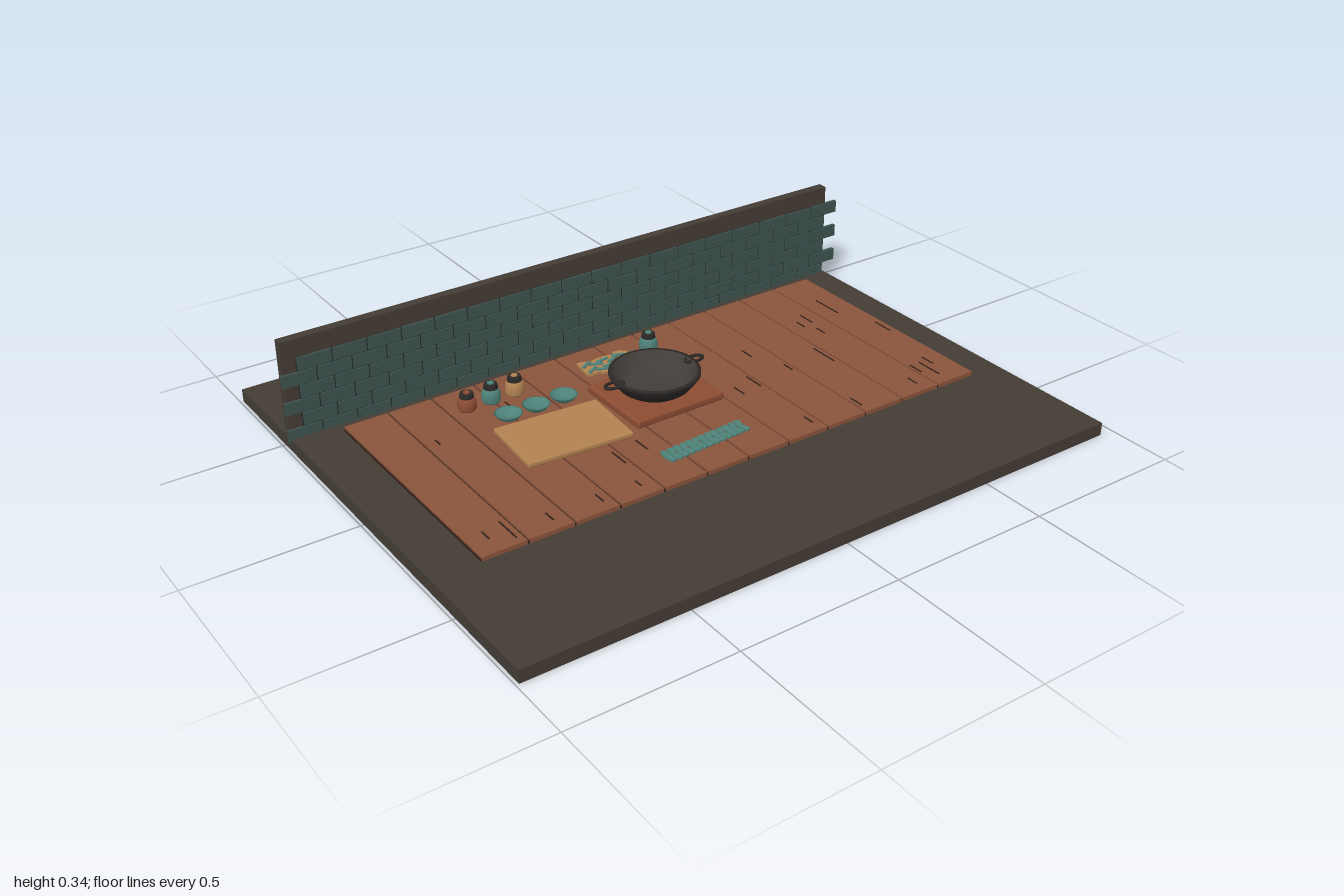
import * as THREE from 'three';
import { RoundedBoxGeometry } from 'three/addons/geometries/RoundedBoxGeometry.js';

const mat = (name, color, side = THREE.FrontSide) => {
  const m = new THREE.MeshStandardMaterial({ color, side });
  m.name = name;
  return m;
};

export function createModel() {
  const root = new THREE.Group();
  root.name = 'kitchenCounter';
  const stone = mat('dark stone', 0x443c35);
  const grout = mat('dark grout', 0x26302e);
  const tile = mat('green tile', 0x3d534f);
  const wood = mat('red brown wood', 0x8a543c);
  const gap = mat('plank gap', 0x35221a);
  const trivetWood = mat('trivet wood', 0x8c4c32);
  const paleWood = mat('pale wood', 0xb28250);
  const teal = mat('teal glaze', 0x4d8279, THREE.DoubleSide);
  const iron = mat('cast iron', 0x2c2927, THREE.DoubleSide);
  const ironInside = mat('worn iron', 0x423e3a);

  const group = (name, parent = root) => {
    const g = new THREE.Group();
    g.name = name;
    parent.add(g);
    return g;
  };
  const add = (name, geo, material, x, y, z, parent = root) => {
    const m = new THREE.Mesh(geo, material);
    m.name = name;
    m.position.set(x, y, z);
    parent.add(m);
    return m;
  };
  const box = (name, w, h, d, material, x, y, z, parent) =>
    add(name, new THREE.BoxGeometry(w, h, d), material, x, y, z, parent);
  const lathe = (pts, n = 24) =>
    new THREE.LatheGeometry(pts.map(([r, y]) => new THREE.Vector2(r, y)), n);

  // Floor slab and rear wall
  box('floor', 1.945, 0.04, 1.61, stone, -0.018, 0.02, -0.003);
  box('wall', 1.945, 0.305, 0.03, stone, -0.018, 0.1925, -0.473);

  // Staggered tiles on the wall
  const tiles = group('wallTiles');
  box('grout', 1.9, 0.248, 0.004, grout, 0, 0.164, -0.457, tiles);
  const pitch = 1.95 / 18;
  for (let r = 0; r < 6; r++) {
    const start = r % 2 ? -0.95 : -1;
    const y = 0.05 + r * 0.0437;
    for (let i = 0; i < 18; i++) {
      box('tile', pitch - 0.006, 0.039, 0.012, tile, start + pitch * (i + 0.5), y, -0.456, tiles);
    }
  }

  // Plank top over a dark base
  const planks = group('plankTop');
  box('plankBase', 1.696, 0.008, 0.786, gap, 0, 0.044, -0.015, planks);
  const pw = 1.7 / 12;
  for (let i = 0; i < 12; i++) {
    box('plank', pw - 0.007, 0.013, 0.79, wood, -0.85 + pw * (i + 0.5), 0.0475, -0.015, planks);
  }

  // Wood grain marks: x, z, length
  const marks = [
    [-0.67, -0.18, 0.03], [-0.73, 0.31, 0.09], [-0.79, 0.3, 0.04], [-0.61, 0.32, 0.04],
    [-0.455, 0.32, 0.04], [-0.33, 0.32, 0.03], [-0.3, 0.18, 0.07], [-0.21, 0.16, 0.06],
    [-0.14, 0.04, 0.05], [-0.08, 0.05, 0.06], [0.2, -0.18, 0.05], [0.2, 0.07, 0.05],
    [0.36, -0.1, 0.05], [0.41, 0.04, 0.04], [0.27, 0.05, 0.07], [0.55, 0.04, 0.1],
    [0.66, -0.18, 0.06], [0.77, -0.21, 0.11], [0.825, 0, 0.07], [0.645, -0.09, 0.04],
    [0.62, -0.16, 0.04], [0.44, 0.32, 0.05], [0.26, 0.32, 0.04], [0.66, 0.32, 0.04],
    [0.755, 0.29, 0.09], [0.785, 0.25, 0.05], [0.72, 0.27, 0.05], [-0.4, -0.25, 0.04],
  ];
  const grain = group('woodGrain');
  for (const [x, z, l] of marks) box('grainMark', 0.005, 0.002, l, gap, x, 0.0545, z, grain);

  // Trivet and cutting board
  add('trivet', new RoundedBoxGeometry(0.305, 0.026, 0.268, 2, 0.008), trivetWood, -0.02, 0.067, -0.046);
  const board = add('cuttingBoard', new RoundedBoxGeometry(0.332, 0.018, 0.224, 2, 0.006), paleWood, -0.36, 0.062, -0.011);
  board.rotation.y = -0.075;

  // Shallow pan with two ring handles
  const pan = group('pan');
  pan.position.set(-0.02, 0.08, -0.05);
  add('panShell', lathe([[0, 0], [0.088, 0], [0.108, 0.014], [0.125, 0.036], [0.136, 0.052],
    [0.136, 0.06], [0.126, 0.06]], 40), iron, 0, 0, 0, pan);
  add('panInside', lathe([[0.126, 0.06], [0.114, 0.038], [0.1, 0.02], [0.084, 0.009], [0, 0.008]].reverse(), 40),
    ironInside, 0, 0, 0, pan).material.side = THREE.DoubleSide;
  for (const s of [-1, 1]) {
    const handle = add('panHandle', new THREE.TorusGeometry(0.026, 0.0055, 8, 24), iron, s * 0.141, 0.054, 0, pan);
    handle.rotation.x = Math.PI / 2;
    handle.scale.set(1.12, 0.65, 1);
  }

  // Three small bowls
  const bowls = group('bowls');
  for (const [x, z] of [[-0.44, -0.18], [-0.347, -0.18], [-0.253, -0.181]]) {
    add('bowl', lathe([[0, 0], [0.02, 0], [0.033, 0.009], [0.042, 0.02], [0.038, 0.02],
      [0.029, 0.011], [0, 0.006]]), teal, x, 0.054, z, bowls);
  }

  // Spice jars with dark collars and coloured stoppers
  const jars = group('jars');
  const jarList = [[-0.51, trivetWood, 0.9], [-0.43, teal, 1], [-0.35, paleWood, 1], [0.127, teal, 1]];
  for (const [x, color, s] of jarList) {
    const jar = group('jar', jars);
    jar.position.set(x, 0.054, -0.297);
    jar.scale.y = s;
    add('jarBody', lathe([[0, 0], [0.024, 0], [0.029, 0.008], [0.028, 0.032], [0.021, 0.046], [0, 0.046]]),
      color, 0, 0, 0, jar);
    add('jarCollar', new THREE.CylinderGeometry(0.02, 0.022, 0.015, 20), iron, 0, 0.053, 0, jar);
    add('jarStopper', new THREE.CylinderGeometry(0.01, 0.01, 0.003, 16), color, 0, 0.062, 0, jar);
  }

  // Herb bundle: pale slices with teal leaves on top
  const herbs = group('herbBundle');
  for (let i = 0; i < 8; i++) {
    const slice = box('herbSlice', 0.03, 0.007, 0.082 - (i % 2) * 0.012, paleWood,
      -0.1 + i * 0.0215, 0.0575, -0.291 + (i % 3 - 1) * 0.006, herbs);
    slice.rotation.y = i % 2 ? 0.2 : -0.15;
  }
  for (let i = 0; i < 12; i++) {
    const leaf = box('herbLeaf', 0.042, 0.004, 0.01, teal,
      -0.092 + (i % 6) * 0.029, 0.063, -0.311 + Math.floor(i / 6) * 0.037 + (i % 2) * 0.012, herbs);
    leaf.rotation.y = [0.5, -0.4, 0.15][i % 3];
  }

  // Garland of overlapping leaves at the front
  const garland = group('leafGarland');
  for (let i = 0; i < 13; i++) {
    for (const s of [-1, 1]) {
      const leaf = box('garlandLeaf', 0.018, 0.005, 0.031, teal,
        -0.187 + i * 0.0222, 0.0565, 0.256 - i * 0.0014 + s * 0.015, garland);
      leaf.rotation.y = s * (i % 2 ? 0.45 : 0.25);
    }
  }
  return root;
}
